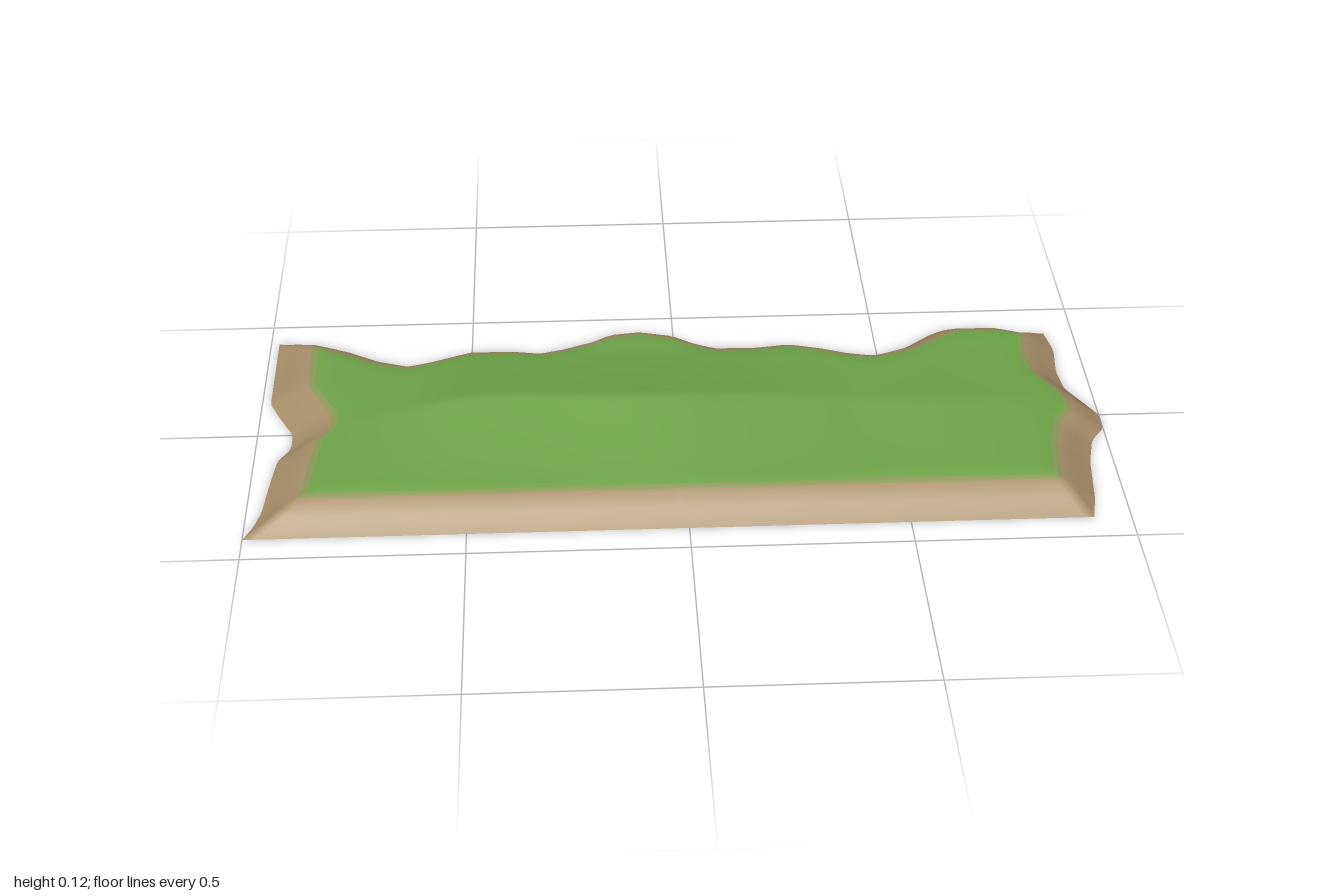
import * as THREE from 'three';

// Outlines as [position, value] points
const BACK_Z = [[-0.98, -0.42], [-0.88, -0.41], [-0.8, -0.37], [-0.73, -0.325], [-0.65, -0.295], [-0.6, -0.31],
  [-0.5, -0.355], [-0.4, -0.355], [-0.33, -0.342], [-0.27, -0.36], [-0.2, -0.39], [-0.15, -0.423], [-0.08, -0.433],
  [0, -0.41], [0.05, -0.37], [0.1, -0.347], [0.2, -0.345], [0.28, -0.357], [0.36, -0.335], [0.42, -0.31], [0.49, -0.293],
  [0.58, -0.33], [0.65, -0.385], [0.7, -0.413], [0.8, -0.413], [0.86, -0.387], [0.93, -0.382]];
const LEFT_X = [[-0.42, -0.98], [-0.14, -0.98], [-0.08, -0.955], [0, -0.917], [0.06, -0.917], [0.11, -0.945],
  [0.2, -0.955], [0.32, -0.965], [0.38, -0.98], [0.425, -1]];
const RIGHT_X = [[-0.4, 0.925], [-0.3, 0.94], [-0.2, 0.93], [-0.12, 0.938], [-0.06, 0.97], [0, 1], [0.06, 1],
  [0.11, 0.965], [0.2, 0.945], [0.35, 0.93], [0.425, 0.915]];
const FRONT_Z = 0.425;
// Height of the hill crest along x
const CREST = [[-0.9, 0.06], [-0.8, 0.063], [-0.7, 0.071], [-0.6, 0.086], [-0.5, 0.102], [-0.4, 0.106], [-0.3, 0.108],
  [-0.2, 0.114], [-0.1, 0.116], [0, 0.109], [0.1, 0.097], [0.2, 0.088], [0.3, 0.081], [0.4, 0.076], [0.5, 0.078],
  [0.6, 0.08], [0.7, 0.075], [0.8, 0.067], [0.9, 0.06]];

// Bank cross-section: distance in from the edge, and height
const BANK_IN = [0, 0.02, 0.04, 0.06, 0.08, 0.095, 0.12];
const BANK_Y = [0, 0.013, 0.029, 0.043, 0.0535, 0.0575, 0.06];
const LAST = BANK_IN.length - 1;

function sample(points, t) {
  if (t <= points[0][0]) return points[0][1];
  for (let i = 1; i < points.length; i++) {
    const [t0, v0] = points[i - 1], [t1, v1] = points[i];
    if (t <= t1) return v0 + (v1 - v0) * (t - t0) / (t1 - t0);
  }
  return points[points.length - 1][1];
}

// Grid line k of n between two edges, with the bank lines kept parallel to each edge
function place(k, n, start, end, startScale) {
  if (k <= LAST) return start + BANK_IN[k] * startScale;
  if (n - k <= LAST) return end - BANK_IN[n - k];
  const a = start + BANK_IN[LAST] * startScale, b = end - BANK_IN[LAST];
  return a + (b - a) * (k - LAST) / (n - 2 * LAST);
}

function hill(x, z) {
  const crestZ = 0.022 + 0.015 * Math.cos(x * 9 + 0.9);
  const slope = Math.max(0, 1 - Math.abs(z - crestZ) / 0.29);
  return (sample(CREST, x) - 0.06) * Math.pow(slope, 1.25);
}

export function createModel() {
  const material = (name, color) => {
    const m = new THREE.MeshStandardMaterial({ color, side: THREE.DoubleSide });
    m.name = name;
    return m;
  };
  const materials = [material('soil', 0xa98f6a), material('mossyEdge', 0x8c9a58), material('grass', 0x6fa548)];

  // Terrain sheet
  const nx = 100, nz = 44;
  const positions = [];
  for (let j = 0; j <= nz; j++) {
    for (let i = 0; i <= nx; i++) {
      const z = place(j, nz, sample(BACK_Z, place(i, nx, -0.96, 0.94, 1)), FRONT_Z, 1.15);
      const x = place(i, nx, sample(LEFT_X, z), sample(RIGHT_X, z), 1.15);
      const bank = BANK_Y[Math.min(i, nx - i, j, nz - j, LAST)];
      positions.push(x, bank + hill(x, z) * bank / 0.06, z);
    }
  }

  // Faces sorted into soil bank, mossy edge and grass
  const faces = [[], [], []];
  for (let j = 0; j < nz; j++) {
    for (let i = 0; i < nx; i++) {
      const ring = Math.min(i, nx - 1 - i, j, nz - 1 - j);
      const a = j * (nx + 1) + i, b = a + 1, c = a + nx + 1, d = c + 1;
      // Diagonals follow the bank creases at the corners
      const alongMain = (i < nx / 2) === (j < nz / 2);
      const quad = alongMain ? [a, c, d, a, d, b] : [a, c, b, b, c, d];
      faces[ring < 4 ? 0 : ring === 4 ? 1 : 2].push(...quad);
    }
  }

  const geometry = new THREE.BufferGeometry();
  geometry.setAttribute('position', new THREE.Float32BufferAttribute(positions, 3));
  geometry.setIndex(faces.flat());
  let start = 0;
  faces.forEach((list, k) => {
    geometry.addGroup(start, list.length, k);
    start += list.length;
  });
  geometry.computeVertexNormals();

  const terrain = new THREE.Mesh(geometry, materials);
  terrain.name = 'grassyMound';
  const group = new THREE.Group();
  group.name = 'terrain';
  group.add(terrain);
  return group;
}
